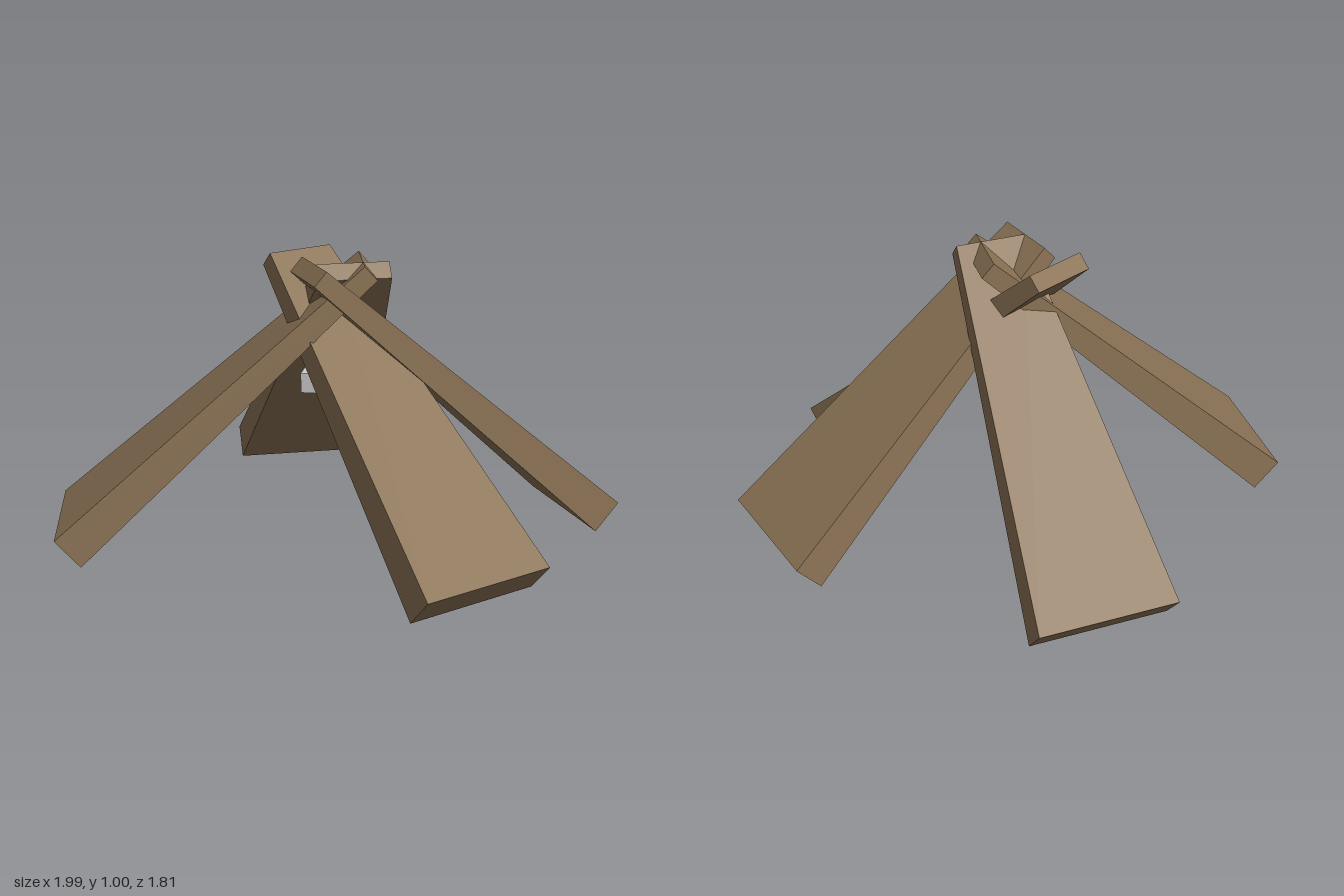
import * as THREE from 'three';

const wood = new THREE.MeshStandardMaterial({ color: 0x8b7355 });
wood.name = 'weathered wood';
const stone = new THREE.MeshStandardMaterial({ color: 0xcccccc });
stone.name = 'pale grey';

// Plank standing on its base, tapering to half its section at the top
function plankGeometry(width, length, thickness) {
  const g = new THREE.BoxGeometry(width, length, thickness);
  g.translate(0, length / 2, 0);
  const p = g.attributes.position;
  for (let i = 0; i < p.count; i++) {
    const s = 1 - 0.5 * (p.getY(i) / length);
    p.setX(i, p.getX(i) * s);
    p.setZ(i, p.getZ(i) * s);
  }
  g.computeVertexNormals();
  return g;
}

function box(name, size, position, material) {
  const mesh = new THREE.Mesh(new THREE.BoxGeometry(...size), material);
  mesh.position.set(...position);
  mesh.name = name;
  return mesh;
}

export function createModel() {
  const model = new THREE.Group();
  model.name = 'plankTripod';

  // Four leaning planks crossing at the top: base x, base z, outward heading
  const legs = [
    ['backLeg', -0.29, -0.78, -159.3],
    ['leftLeg', 0.828, -0.289, 119.6],
    ['frontLeg', 0.57, 0.695, 45],
    ['rightLeg', -0.898, 0.345, -76.2],
  ];
  const geometry = plankGeometry(0.504, 1.39, 0.13);
  const lean = THREE.MathUtils.degToRad(-48.3);
  for (const [name, x, z, heading] of legs) {
    const leg = new THREE.Group();
    leg.name = name;
    leg.position.set(x, 0.049, z);
    leg.rotation.y = THREE.MathUtils.degToRad(heading);
    const plank = new THREE.Mesh(geometry, wood);
    plank.name = name + 'Plank';
    plank.rotation.x = lean;
    leg.add(plank);
    model.add(leg);
  }

  // Small block under the crossing, with a wooden core showing at one corner
  model.add(box('hangingBlock', [0.16, 0.07, 0.16], [-0.04, 0.555, 0.05], stone));
  model.add(box('blockCore', [0.11, 0.066, 0.11], [-0.005, 0.551, 0.015], wood));
  return model;
}
